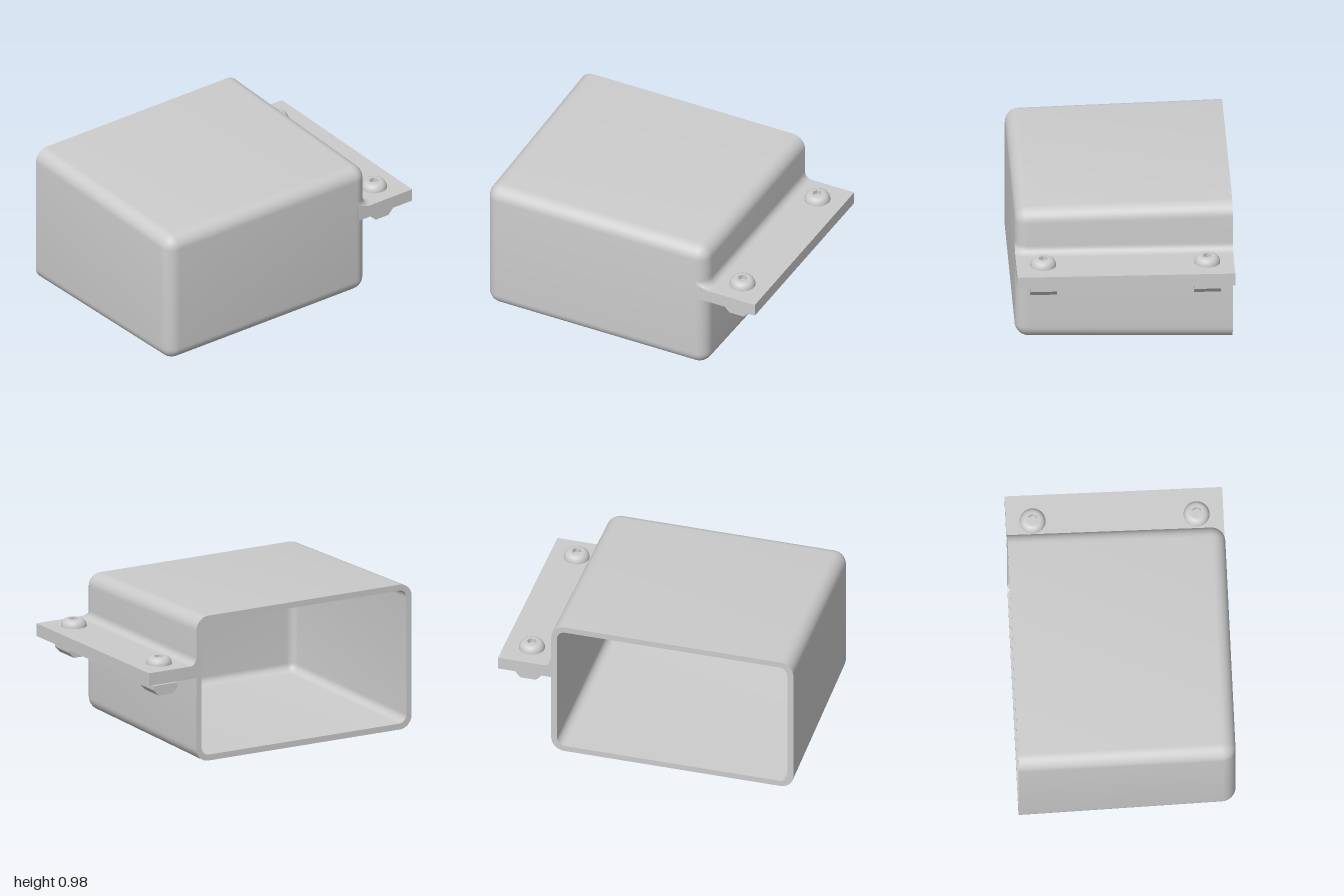
import * as THREE from 'three';
import { toCreasedNormals } from 'three/addons/utils/BufferGeometryUtils.js';

const material = new THREE.MeshStandardMaterial({ color: 0xcccccc });
const V = (x, y, z) => new THREE.Vector3(x, y, z);
const lerp = THREE.MathUtils.lerp;

function part(name, geometry, parent) {
  const mesh = new THREE.Mesh(geometry, material);
  mesh.name = name;
  parent.add(mesh);
  return mesh;
}

function box(name, x0, x1, y0, y1, z0, z1, parent) {
  const mesh = part(name, new THREE.BoxGeometry(x1 - x0, y1 - y0, z1 - z0), parent);
  mesh.position.set((x0 + x1) / 2, (y0 + y1) / 2, (z0 + z1) / 2);
  return mesh;
}

// Skin a run of closed rings that all have the same number of points
function loft(rings, crease = 0.6) {
  const n = rings[0].length, index = [];
  for (let i = 0; i < rings.length - 1; i++) {
    for (let j = 0; j < n; j++) {
      const a = i * n + j, b = i * n + (j + 1) % n;
      index.push(a, b, b + n, a, b + n, a + n);
    }
  }
  const g = new THREE.BufferGeometry().setFromPoints(rings.flat());
  g.setIndex(index);
  return toCreasedNormals(g, crease);
}

// A ring shrunk to one point closes an end
const cap = (ring, p) => ring.map(() => p.clone());

// Drafted cover section at depth z, pulled in by inset, corners of radius r
const BACK = -0.71, FRONT = 0.71;
function section(z, inset, r) {
  const t = (z - BACK) / (FRONT - BACK);
  const x0 = lerp(-1, -0.975, t) + inset, x1 = 0.64 - inset;
  const y0 = lerp(0, 0.03, t) + inset, y1 = lerp(0.98, 0.955, t) - inset;
  const corners = [[x1 - r, y1 - r], [x0 + r, y1 - r], [x0 + r, y0 + r], [x1 - r, y0 + r]];
  const ring = [];
  corners.forEach(([cx, cy], q) => {
    for (let k = 0; k <= 8; k++) {
      const a = (q + k / 8) * Math.PI / 2;
      ring.push(V(cx + r * Math.cos(a), cy + r * Math.sin(a), z));
    }
  });
  return ring;
}

// Back-to-front rings of one skin, rounding over into the front wall
function skin(front, inset, r) {
  const rings = [section(BACK, inset, r)];
  for (let k = 0; k <= 8; k++) {
    const a = k / 8 * Math.PI / 2;
    const pull = (r - 0.002) * (1 - Math.cos(a));
    rings.push(section(front - r + r * Math.sin(a), inset + pull, r - pull));
  }
  rings.push(cap(rings[0], V(-0.17, 0.49, front)));
  return rings;
}

// Concave fillet where the flange top meets the cover, following its front corner
function filletGeometry() {
  const r = 0.05, R = 0.09, cx = 0.55, cz = FRONT - R, top = 0.655;
  const path = [[0.64, BACK, 0]];
  for (let k = 0; k <= 10; k++) {
    const a = k / 10 * 1.5;
    path.push([cx + R * Math.cos(a), cz + R * Math.sin(a), a]);
  }
  const rings = path.map(([x, z, a]) => {
    const nx = Math.cos(a), nz = Math.sin(a);
    const limit = nz > 0 ? Math.max(0, (FRONT - z) / nz) : r;
    const at = (d, h) => V(x + nx * d, top + h, z + nz * d);
    const ring = [at(-0.02, 0), at(Math.min(r, limit), 0)];
    for (let k = 0; k <= 8; k++) {
      const d = Math.min(limit, r * (1 - Math.sin(k / 8 * Math.PI / 2)));
      ring.push(at(d, r - Math.sqrt(Math.max(0, r * r - (r - d) ** 2))));
    }
    ring.push(at(-0.02, r));
    return ring;
  });
  const first = rings[0], last = rings[rings.length - 1];
  return loft([cap(first, V(0.63, 0.66, BACK)), ...rings, cap(last, last[0])]);
}

// Slot nut: rectangular block with tapered lower half and a round bore
function nutGeometry() {
  const N = 32;
  const ring = (y, hx, hz, square) => Array.from({ length: N }, (_, i) => {
    const a = i / N * Math.PI * 2, c = Math.cos(a), s = Math.sin(a);
    const k = square ? 1 / Math.max(Math.abs(c), Math.abs(s)) : 1;
    return V(hx * c * k, y, -hz * s * k);
  });
  const bore = ring(0.5, 0.036, 0.036, false);
  return loft([
    cap(bore, V(0, 0.5, 0)), bore, ring(0.465, 0.036, 0.036, false),
    ring(0.465, 0.052, 0.0875, true), ring(0.505, 0.09, 0.0875, true),
    ring(0.535, 0.09, 0.0875, true), cap(bore, V(0, 0.535, 0)),
  ], 0.4);
}

// Button-head bolt with hex socket, plus its slot nut
function createFastener() {
  const group = new THREE.Group();
  group.name = 'fastener';

  const dome = [];
  for (let k = 0; k <= 8; k++) {
    const t = k / 8 * Math.PI / 2;
    dome.push(new THREE.Vector2(0.045 + 0.04 * Math.cos(t), 0.655 + 0.05 * Math.sin(t)));
  }
  part('boltHead', new THREE.LatheGeometry(dome, 32), group);

  const rim = new THREE.Shape().absarc(0, 0, 0.045, 0, Math.PI * 2);
  const hex = Array.from({ length: 6 }, (_, i) =>
    new THREE.Vector2(0.032 * Math.cos(i * Math.PI / 3), 0.032 * Math.sin(i * Math.PI / 3)));
  rim.holes.push(new THREE.Path(hex));
  const socket = new THREE.ExtrudeGeometry(rim, { depth: 0.03, bevelEnabled: false, curveSegments: 16 });
  part('hexSocket', socket.rotateX(-Math.PI / 2).translate(0, 0.675, 0), group);
  part('socketFloor', new THREE.CircleGeometry(0.04, 24).rotateX(-Math.PI / 2).translate(0, 0.676, 0), group);

  part('boltShank', new THREE.CylinderGeometry(0.043, 0.043, 0.14, 24).translate(0, 0.6, 0), group);
  part('slotNut', nutGeometry(), group);
  return group;
}

export function createModel() {
  const model = new THREE.Group();
  model.name = 'endCover';

  // Hollow cover, open at the back: inner skin, back lip, outer skin
  const inner = skin(FRONT - 0.04, 0.04, 0.055).reverse();
  part('coverShell', loft([...inner, ...skin(FRONT, 0, 0.09)]), model);

  // Mounting flange: thin plate with a rim and ribs underneath
  const flange = new THREE.Group();
  flange.name = 'mountingFlange';
  model.add(flange);
  box('flangePlate', 0.61, 1, 0.61, 0.655, BACK, FRONT, flange);
  box('flangeCorner', 0.575, 0.615, 0.57, 0.655, 0.675, FRONT, flange);
  box('outerRim', 0.97, 1, 0.57, 0.61, BACK, FRONT, flange);
  box('backRim', 0.61, 0.97, 0.57, 0.61, BACK, BACK + 0.03, flange);
  box('frontRim', 0.61, 0.97, 0.57, 0.61, FRONT - 0.03, FRONT, flange);
  box('longRib', 0.805, 0.835, 0.57, 0.61, -0.45, 0.45, flange);
  box('crossRib', 0.62, 0.97, 0.57, 0.61, -0.015, 0.015, flange);
  part('flangeFillet', filletGeometry(), flange);

  // A boss and a fastener near each end of the flange
  for (const z of [-0.535, 0.535]) {
    const boss = part('boltBoss', new THREE.CylinderGeometry(0.1, 0.1, 0.04, 32), flange);
    boss.position.set(0.82, 0.59, z);
    const fastener = createFastener();
    fastener.position.set(0.82, 0, z);
    model.add(fastener);
  }
  return model;
}
